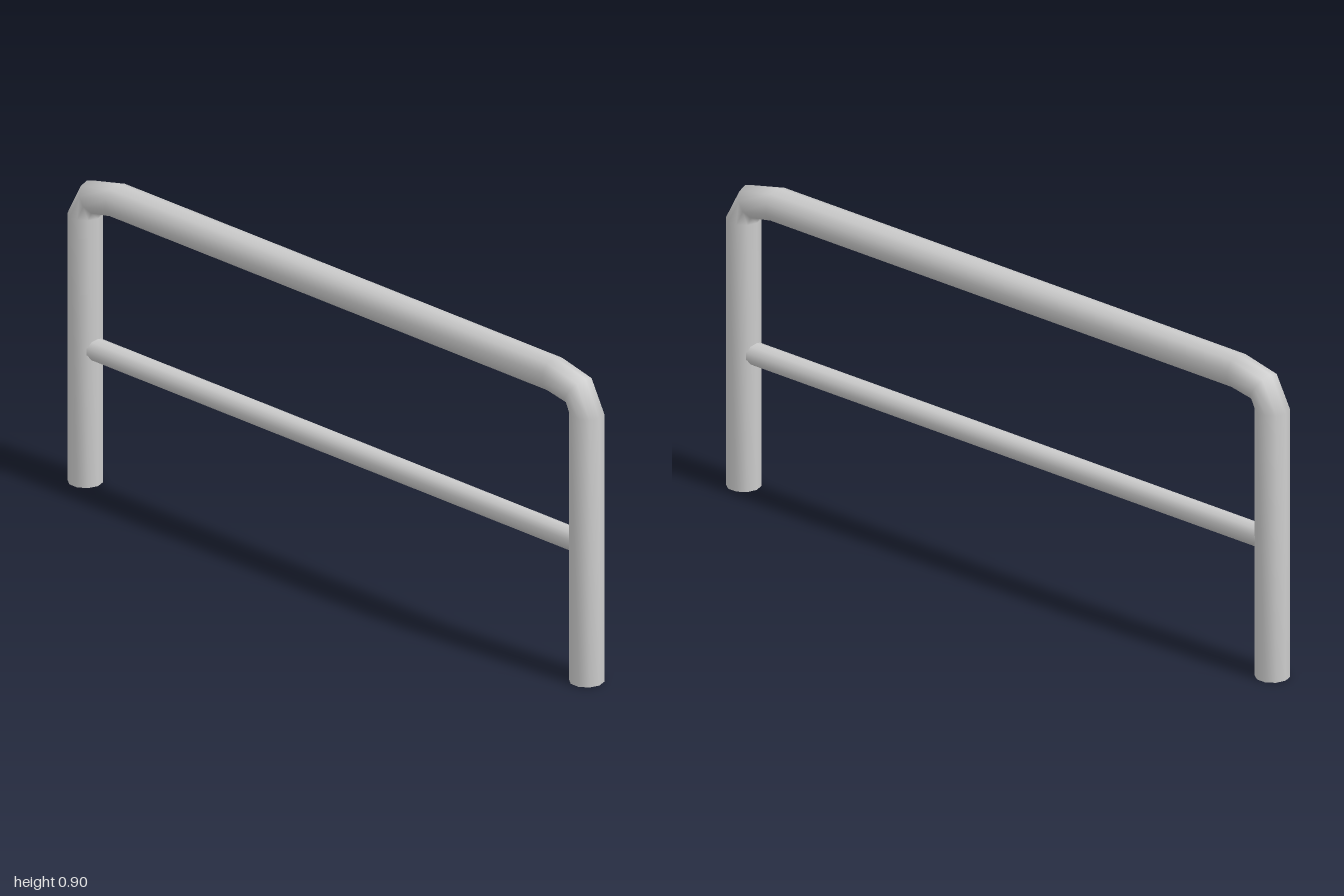
import * as THREE from 'three';

const material = new THREE.MeshStandardMaterial({ color: 0xcccccc });
const SIDES = 10;

// Sweeps a round section along stations [x, y, tangent angle] lying in the xy plane
function sweep(stations, radius) {
  const positions = [], index = [];
  for (const [x, y, angle] of stations) {
    for (let j = 0; j < SIDES; j++) {
      const a = (j / SIDES) * Math.PI * 2;
      const out = radius * Math.cos(a);
      positions.push(x - Math.sin(angle) * out, y + Math.cos(angle) * out, radius * Math.sin(a));
    }
  }
  for (let i = 0; i < stations.length - 1; i++) {
    for (let j = 0; j < SIDES; j++) {
      const k = (j + 1) % SIDES;
      const a = i * SIDES + j, b = i * SIDES + k;
      index.push(a, b, a + SIDES, b, b + SIDES, a + SIDES);
    }
  }
  const geometry = new THREE.BufferGeometry();
  geometry.setAttribute('position', new THREE.Float32BufferAttribute(positions, 3));
  geometry.setIndex(index);
  geometry.computeVertexNormals();
  return geometry;
}

function add(group, name, geometry) {
  const mesh = new THREE.Mesh(geometry, material);
  mesh.name = name;
  group.add(mesh);
  return mesh;
}

export function createModel() {
  const group = new THREE.Group();
  group.name = 'barrier';

  // Bent hoop: leg, elbow, top bar, elbow, leg
  const radius = 0.048, legX = 0.952, topY = 0.857;
  const bend = new THREE.QuadraticBezierCurve(
    new THREE.Vector2(-legX, 0.78),
    new THREE.Vector2(-legX, topY),
    new THREE.Vector2(-0.83, topY)
  );
  const left = [[-legX, 0, Math.PI / 2]];
  for (const t of [0, 0.5, 1]) {
    const p = bend.getPoint(t), d = bend.getTangent(t);
    left.push([p.x, p.y, t === 0 ? Math.PI / 2 : Math.atan2(d.y, d.x)]);
  }
  const right = left.map(([x, y, a]) => [-x, y, -a]).reverse();
  add(group, 'hoop', sweep([...left, ...right], radius));

  // Flat caps under the feet
  for (const side of [-1, 1]) {
    const cap = add(group, side > 0 ? 'leftFootCap' : 'rightFootCap', new THREE.CircleGeometry(radius, SIDES));
    cap.rotation.x = Math.PI / 2;
    cap.position.x = side * legX;
  }

  // Thin middle rail running into the legs
  add(group, 'middleRail', sweep([[-0.94, 0.397, 0], [0.94, 0.397, 0]], 0.032));

  return group;
}
